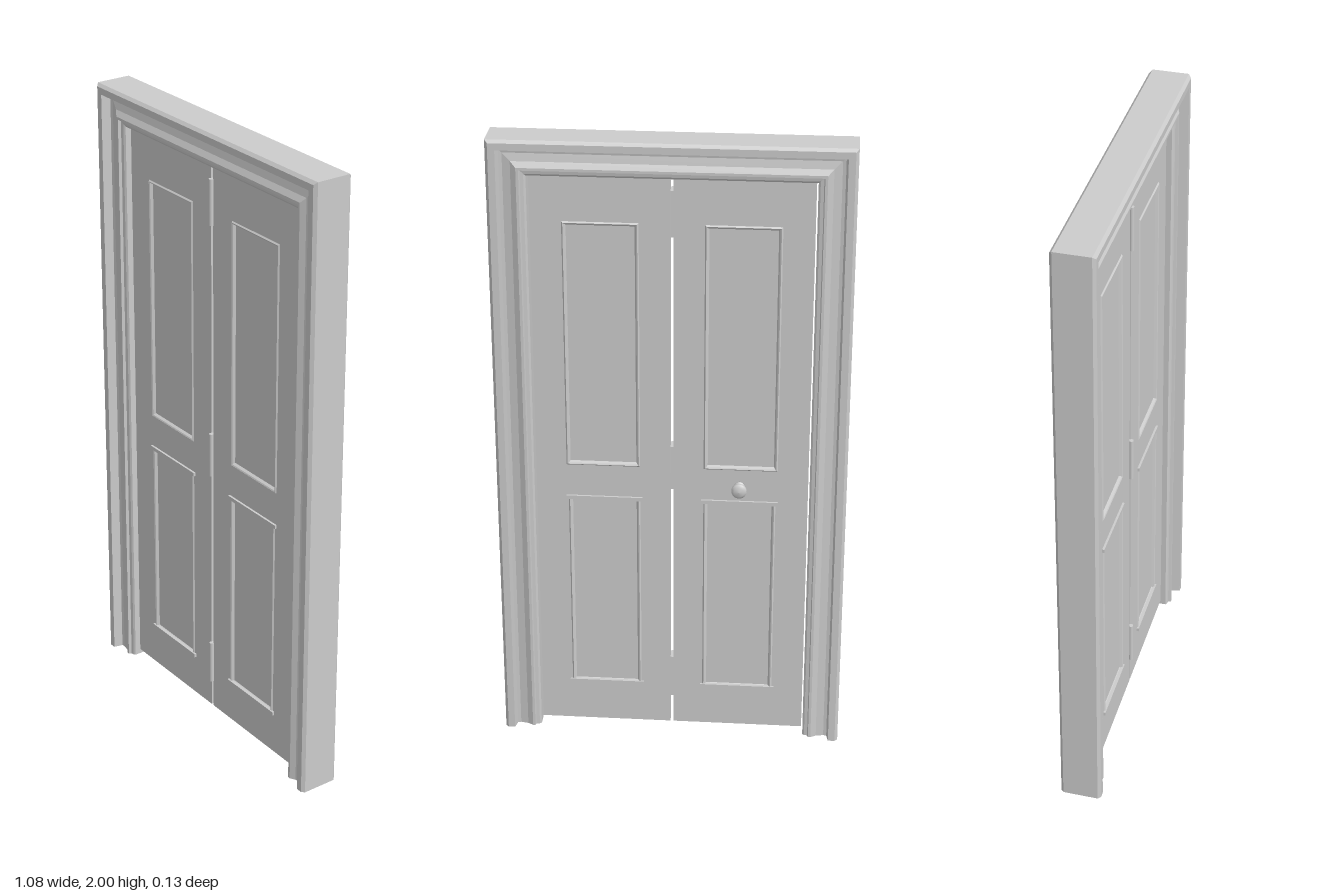
import * as THREE from 'three';

const grey = new THREE.MeshStandardMaterial({ color: 0xcccccc, flatShading: true, side: THREE.DoubleSide });
const smooth = new THREE.MeshStandardMaterial({ color: 0xcccccc });

function add(parent, name, geometry, material = grey) {
  const mesh = new THREE.Mesh(geometry, material);
  mesh.name = name;
  parent.add(mesh);
  return mesh;
}

// Mirror a front profile of [inset, z] points to the back, giving a closed section
const bothSides = (front) => [...front, ...front.map(([u, z]) => [u, -z]).reverse()];

// Sweep a section around a rectangle with mitred corners.
// A closed rectangle is a ring; an open one has two legs standing on y0.
function mitredFrame(x0, x1, y0, y1, section, closed) {
  const corners = ([u, z]) => {
    const foot = closed ? y0 + u : y0;
    return [[x0 + u, foot, z], [x0 + u, y1 - u, z], [x1 - u, y1 - u, z], [x1 - u, foot, z]];
  };
  const rows = section.map(corners);
  const n = section.length;
  const pos = [];
  for (let i = 0; i < (closed ? 4 : 3); i++) {
    const k = (i + 1) % 4;
    for (let j = 0; j < n; j++) {
      const a = rows[j][i], b = rows[(j + 1) % n][i], c = rows[(j + 1) % n][k], d = rows[j][k];
      pos.push(...a, ...b, ...c, ...a, ...c, ...d);
    }
  }
  // Feet of the open legs
  if (!closed) {
    const faces = THREE.ShapeUtils.triangulateShape(section.map(([u, z]) => new THREE.Vector2(u, z)), []);
    for (const end of [0, 3]) for (const f of faces) for (const j of f) pos.push(...rows[j][end]);
  }
  const g = new THREE.BufferGeometry();
  g.setAttribute('position', new THREE.Float32BufferAttribute(pos, 3));
  g.computeVertexNormals();
  return g;
}

function rect(Type, x0, x1, y0, y1) {
  return new Type([[x0, y0], [x1, y0], [x1, y1], [x0, y1]].map(([x, y]) => new THREE.Vector2(x, y)));
}

const T = 0.018; // half the leaf thickness
const PANELS = [
  { name: 'upperPanel', x0: 0.1, x1: 0.325, y0: 0.945, y1: 1.74 },
  { name: 'lowerPanel', x0: 0.1, x1: 0.32, y0: 0.16, y1: 0.835, ledges: true },
];

// One door leaf on the +x side
function makeLeaf(name) {
  const leaf = new THREE.Group();
  leaf.name = name;
  const slab = rect(THREE.Shape, 0.005, 0.421, 0.02, 1.886);
  for (const p of PANELS) slab.holes.push(rect(THREE.Path, p.x0, p.x1, p.y0, p.y1));
  add(leaf, 'stilesAndRails', new THREE.ExtrudeGeometry(slab, { depth: 2 * T, bevelEnabled: false }).translate(0, 0, -T));

  for (const p of PANELS) {
    const w = p.x1 - p.x0, h = p.y1 - p.y0, cx = (p.x0 + p.x1) / 2;
    add(leaf, p.name, new THREE.BoxGeometry(w, h, 0.024)).position.set(cx, (p.y0 + p.y1) / 2, 0);
    const bead = bothSides([[-0.002, T], [0.002, T + 0.004], [0.006, T + 0.002], [0.011, 0.011]]);
    add(leaf, p.name + 'Moulding', mitredFrame(p.x0, p.x1, p.y0, p.y1, bead, true));
    // Small ledges above and below the lower panel, on both faces
    if (p.ledges) for (const y of [p.y0 + 0.003, p.y1 - 0.003]) {
      add(leaf, 'panelLedge', new THREE.BoxGeometry(w + 0.018, 0.012, 2 * T + 0.014)).position.set(cx, y, 0);
    }
  }
  return leaf;
}

export function createModel() {
  const model = new THREE.Group();
  model.name = 'foldingDoor';

  // Moulded surround: outer band, cove, inner bead and jamb
  const casing = bothSides([
    [0, 0.056], [0.009, 0.065], [0.03, 0.065], [0.036, 0.036], [0.046, 0.034],
    [0.07, 0.039], [0.087, 0.049], [0.095, 0.049], [0.098, 0.04], [0.108, 0.038], [0.114, 0.034],
  ]);
  add(model, 'doorFrame', mitredFrame(-0.54, 0.54, 0, 2, casing, false));

  // Two matching leaves
  model.add(makeLeaf('leftLeaf'));
  const right = makeLeaf('rightLeaf');
  right.rotation.y = Math.PI;
  model.add(right);

  // Hinges joining the leaves at the front
  for (const y of [0.187, 0.94, 1.77]) {
    const hinge = new THREE.Group();
    hinge.name = 'hinge';
    hinge.position.set(0, y, T);
    add(hinge, 'knuckle', new THREE.CylinderGeometry(0.0075, 0.0075, 0.145, 12), smooth).position.z = 0.004;
    add(hinge, 'hingeLeaves', new THREE.BoxGeometry(0.011, 0.145, 0.03)).position.z = -0.015;
    model.add(hinge);
  }

  // Round knob on the back of the right leaf
  const profile = [[0, 0], [0.016, 0], [0.016, 0.004], [0.009, 0.008], [0.009, 0.018], [0.018, 0.022],
    [0.024, 0.03], [0.023, 0.038], [0.015, 0.044], [0, 0.046]].map(([r, y]) => new THREE.Vector2(r, y));
  const knob = add(model, 'knob', new THREE.LatheGeometry(profile, 24), smooth);
  knob.rotation.x = -Math.PI / 2;
  knob.position.set(-0.21, 0.888, -T);

  return model;
}
